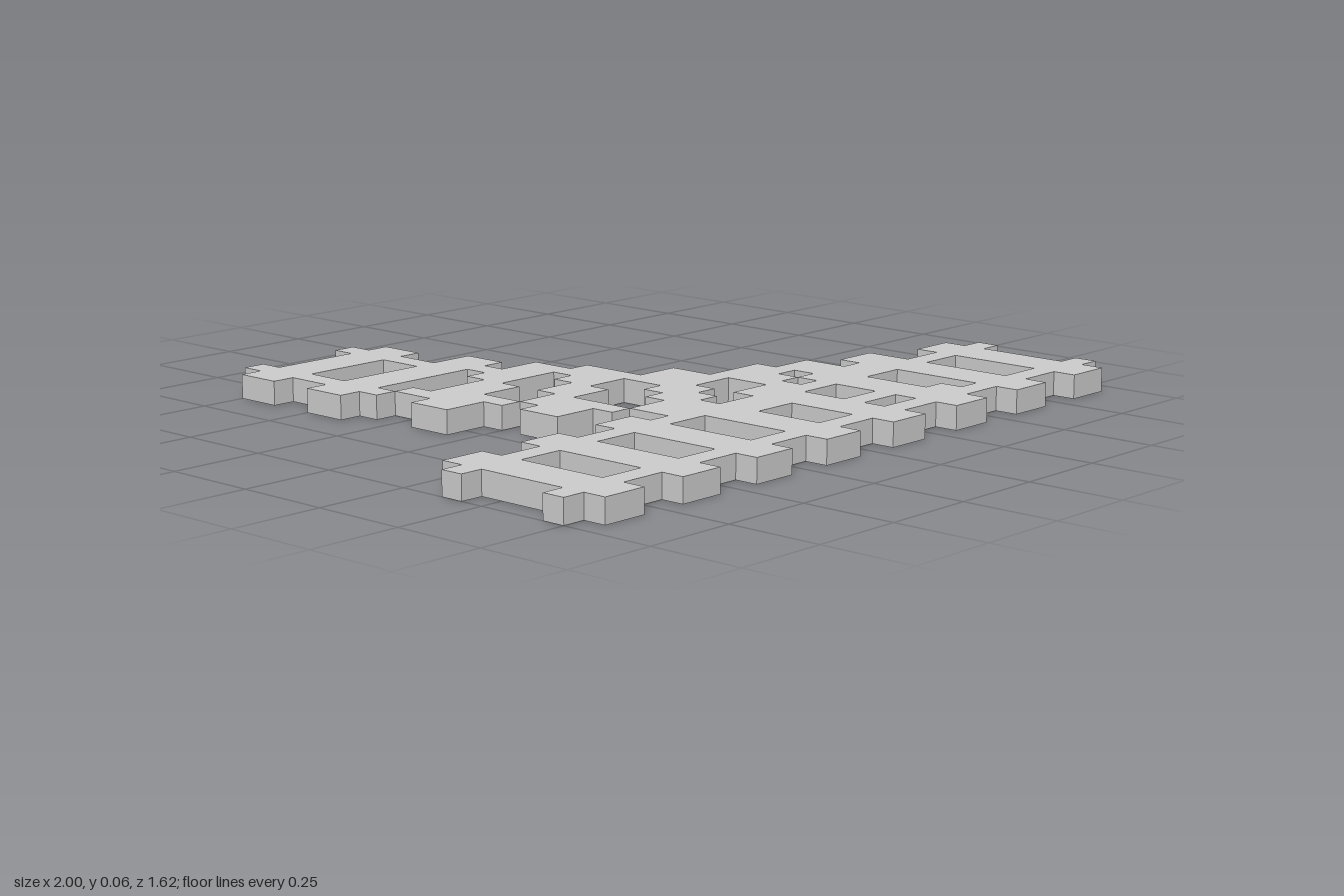
import * as THREE from 'three';

const U = 1 / 16;            // side of one block
const COLS = 32, ROWS = 26;  // footprint in blocks

// Curved branch: [row, start, end, start, end, ...], end not included
const BRANCH = [
  [0, 7, 8, 12, 13],
  [1, 6, 14],
  [2, 6, 14],
  [3, 7, 8, 12, 13],
  [4, 7, 8, 12, 13],
  [5, 6, 15],
  [6, 6, 15],
  [7, 7, 8, 13, 14],
  [8, 8, 9, 12, 16],
  [9, 8, 16],
  [10, 7, 12, 15, 17],
  [11, 7, 10, 14, 17],
  [12, 9, 10, 12, 17],
  [13, 10, 14, 16, 19],
  [14, 9, 12, 16, 19],
  [15, 9, 12, 15, 22],
  [16, 11, 12, 14, 17, 19, 24],
  [17, 12, 16, 19, 21, 22, 24],
  [18, 12, 13, 19, 20, 23, 25],
  [20, 15, 17],
  [22, 19, 21],
  [23, 23, 24],
];

export function createModel() {
  // Mark which part fills each block of the flat layout
  const grid = Array.from({ length: ROWS }, () => new Array(COLS).fill(null));
  const fill = (name, x0, x1, z0, z1) => {
    for (let z = z0; z < z1; z++) for (let x = x0; x < x1; x++) grid[z][x] = name;
  };
  for (const [row, ...runs] of BRANCH) {
    for (let k = 0; k < runs.length; k += 2) fill('branchTrack', runs[k], runs[k + 1], row, row + 1);
  }
  for (const z of [19, 24]) fill('straightRails', 0, COLS, z, z + 1);
  for (let x = 1; x < COLS; x += 4) fill('straightSleepers', x, x + 2, 18, ROWS);
  fill('straightSleepers', 25, 27, 17, 18); // longer sleeper beside the junction

  const group = new THREE.Group();
  const material = new THREE.MeshStandardMaterial({ color: 0xcccccc, flatShading: true });
  for (const name of ['straightRails', 'straightSleepers', 'branchTrack']) {
    const mesh = new THREE.Mesh(blockSurface(grid, name), material);
    mesh.name = name;
    group.add(mesh);
  }
  return group;
}

// Outer skin of one part: tops, bottoms and only the walls with no neighbour
function blockSurface(grid, name) {
  const pos = [];
  const quad = (a, b, c, d) => pos.push(...a, ...b, ...c, ...a, ...c, ...d);
  const empty = (x, z) => !grid[z]?.[x];
  for (let z = 0; z < ROWS; z++) {
    for (let x = 0; x < COLS; x++) {
      if (grid[z][x] !== name) continue;
      const x0 = (x - COLS / 2) * U, x1 = x0 + U;
      const z0 = (z - ROWS / 2) * U, z1 = z0 + U;
      quad([x0, U, z1], [x1, U, z1], [x1, U, z0], [x0, U, z0]);
      quad([x0, 0, z0], [x1, 0, z0], [x1, 0, z1], [x0, 0, z1]);
      const wall = (ax, az, bx, bz) => quad([ax, 0, az], [bx, 0, bz], [bx, U, bz], [ax, U, az]);
      if (empty(x, z + 1)) wall(x0, z1, x1, z1);
      if (empty(x, z - 1)) wall(x1, z0, x0, z0);
      if (empty(x + 1, z)) wall(x1, z1, x1, z0);
      if (empty(x - 1, z)) wall(x0, z0, x0, z1);
    }
  }
  const geometry = new THREE.BufferGeometry();
  geometry.setAttribute('position', new THREE.Float32BufferAttribute(pos, 3));
  geometry.computeVertexNormals();
  return geometry;
}
